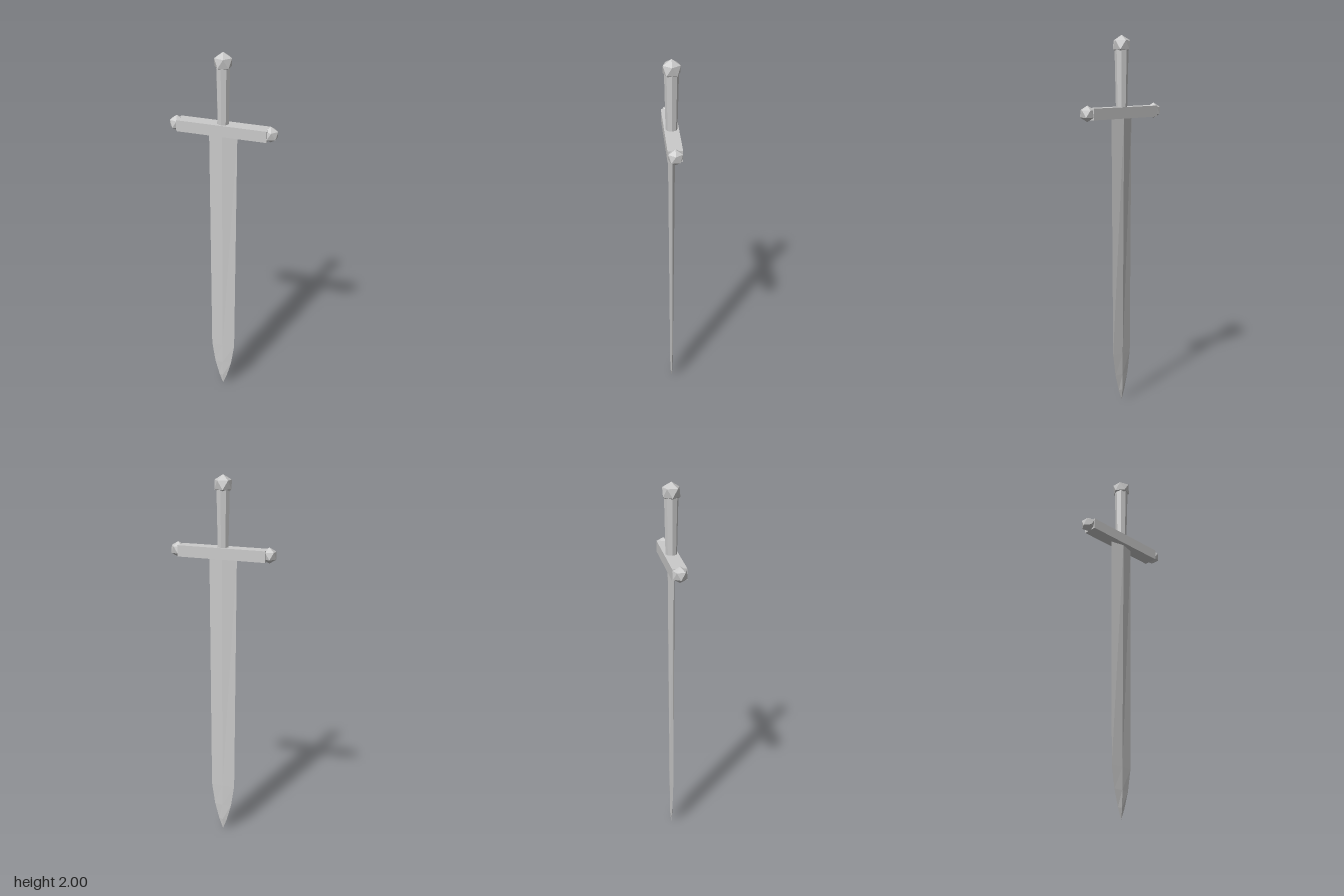
import * as THREE from 'three';

const steel = new THREE.MeshStandardMaterial({ color: 0xcacaca });
steel.name = 'steel';

// Faceted knob with one corner pointing straight up
function knob(radius) {
  return new THREE.IcosahedronGeometry(radius, 0)
    .rotateZ(-Math.atan(2 / (1 + Math.sqrt(5))));
}

// Diamond-section blade lofted downwards through rows of [y, half width, half thickness]
function bladeGeometry(rows) {
  const positions = [];
  const rings = rows.map(([y, w, t]) => [[w, y, 0], [0, y, t], [-w, y, 0], [0, y, -t]]);
  const tri = (a, b, c) => positions.push(...a, ...b, ...c);
  for (let i = 0; i < rings.length - 1; i++) {
    for (let k = 0; k < 4; k++) {
      const n = (k + 1) % 4;
      const [a, b, c, d] = [rings[i][k], rings[i][n], rings[i + 1][n], rings[i + 1][k]];
      tri(a, b, c);
      if (i < rings.length - 2) tri(a, c, d);
    }
  }
  // Cap under the guard
  const [p, q, r, s] = rings[0];
  tri(p, r, q);
  tri(p, s, r);
  const g = new THREE.BufferGeometry();
  g.setAttribute('position', new THREE.Float32BufferAttribute(positions, 3));
  return g;
}

export function createModel() {
  const sword = new THREE.Group();
  sword.name = 'sword';

  function add(name, geometry, x, y) {
    // Unshared corners keep every facet flat
    const flat = geometry.index ? geometry.toNonIndexed() : geometry;
    flat.computeVertexNormals();
    const mesh = new THREE.Mesh(flat, steel);
    mesh.name = name;
    mesh.position.set(x, y, 0);
    sword.add(mesh);
  }

  // Blade, tapering to a curved point
  add('blade', bladeGeometry([
    [1.58, 0.077, 0.019],
    [0.27, 0.067, 0.009],
    [0.15, 0.048, 0.008],
    [0.06, 0.023, 0.007],
    [0, 0, 0],
  ]), 0, 0);

  // Crossguard with an upright knob at each end
  add('guard', new THREE.BoxGeometry(0.488, 0.06, 0.076), 0, 1.596);
  add('leftGuardKnob', knob(0.042), 0.255, 1.599);
  add('rightGuardKnob', knob(0.042), -0.255, 1.599);

  // Grip, widening towards the pommel
  add('grip', new THREE.CylinderGeometry(0.037, 0.03, 0.31, 8), 0, 1.775);
  add('pommel', knob(0.052), 0, 1.948);

  return sword;
}
